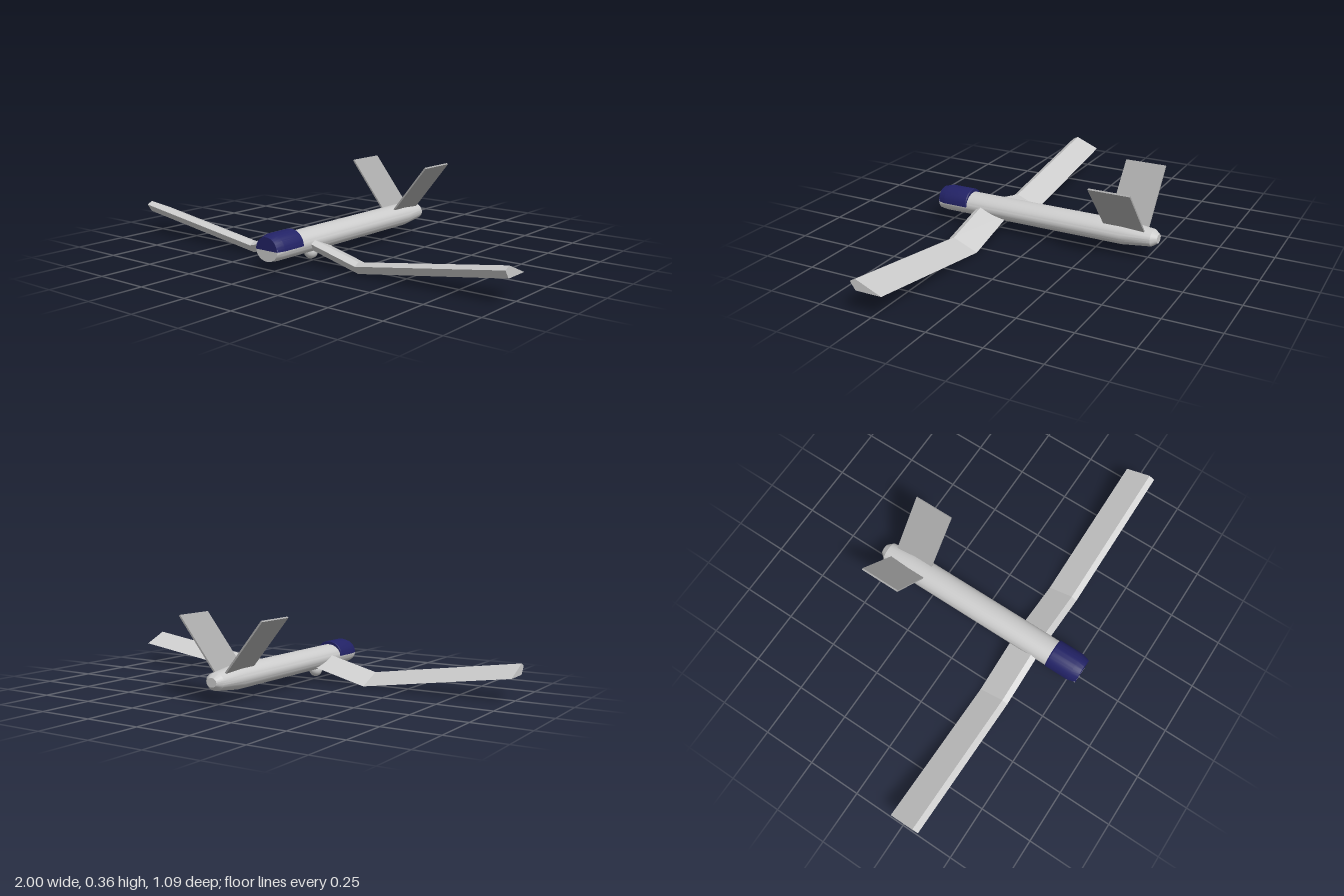
import * as THREE from 'three';
import { toCreasedNormals } from 'three/addons/utils/BufferGeometryUtils.js';

const AXIS_Y = 0.098;

function material(name, color, side = THREE.FrontSide) {
  const m = new THREE.MeshStandardMaterial({ color, side });
  m.name = name;
  return m;
}

// Body of revolution along z, from [radius, z] points, squashed in height
function lathed(points, heightScale, start = 0, sweep = Math.PI * 2) {
  const profile = points.map(([r, z]) => new THREE.Vector2(r, z));
  const g = new THREE.LatheGeometry(profile, 32, start, sweep);
  g.rotateX(Math.PI / 2);
  g.scale(1, heightScale, 1);
  return toCreasedNormals(g, 0.3);
}

// Wing: one airfoil section carried through stations along x
function wingGeometry() {
  const section = [[0.195, 0], [0.315, 0], [0.34, 0.036], [0.313, 0.05]]; // z, y
  const stations = [[-1, 0.102], [-0.3, 0], [0, 0.076], [0.3, 0], [1, 0.102]]; // x, base y
  const positions = [], index = [], n = section.length;
  for (const [x, base] of stations)
    for (const [z, y] of section) positions.push(x, base + y, z);
  for (let s = 0; s < stations.length - 1; s++)
    for (let i = 0; i < n; i++) {
      const a = s * n + i, b = s * n + (i + 1) % n;
      index.push(a, a + n, b, b, a + n, b + n);
    }
  const last = (stations.length - 1) * n;
  for (let i = 1; i < n - 1; i++) {
    index.push(0, i, i + 1);
    index.push(last, last + i + 1, last + i);
  }
  const g = new THREE.BufferGeometry();
  g.setAttribute('position', new THREE.Float32BufferAttribute(positions, 3));
  g.setIndex(index);
  return toCreasedNormals(g, 0.01);
}

export function createModel() {
  const model = new THREE.Group();
  model.name = 'glider';
  const bodyGrey = material('bodyGrey', 0xcccccc);
  const finGrey = material('finGrey', 0xaaaaaa);
  const navy = material('navy', 0x222266, THREE.DoubleSide);

  const add = (name, geometry, mat, x = 0, y = 0, z = 0) => {
    const mesh = new THREE.Mesh(geometry, mat);
    mesh.name = name;
    mesh.position.set(x, y, z);
    model.add(mesh);
    return mesh;
  };

  // Fuselage with tapered tail
  add('fuselage', lathed([
    [0, -0.547], [0.025, -0.547], [0.047, -0.522], [0.065, -0.39],
    [0.065, 0.51], [0.06, 0.545], [0, 0.545],
  ], 0.8), bodyGrey, 0, AXIS_Y);

  // Dark cover over the upper half of the nose
  add('noseCover', lathed([
    [0, 0.39], [0.068, 0.39], [0.07, 0.395], [0.07, 0.51], [0.059, 0.547], [0, 0.547],
  ], 0.96, Math.PI / 2, Math.PI), navy, 0, AXIS_Y);

  // Cranked wing and the sensor ball beneath it
  add('wing', wingGeometry(), bodyGrey);
  add('sensorBall', new THREE.SphereGeometry(0.031, 24, 16), bodyGrey, 0, 0.041, 0.267);

  // V tail
  const root = new THREE.Vector2(0.02, 0.121), tip = new THREE.Vector2(0.211, 0.358);
  const span = tip.clone().sub(root);
  for (const side of [1, -1]) {
    const fin = add(side > 0 ? 'leftTailFin' : 'rightTailFin',
      new THREE.BoxGeometry(span.length(), 0.008, 0.19), finGrey,
      side * (root.x + tip.x) / 2, (root.y + tip.y) / 2, -0.395);
    fin.rotation.z = side * Math.atan2(span.y, span.x);
  }
  return model;
}
